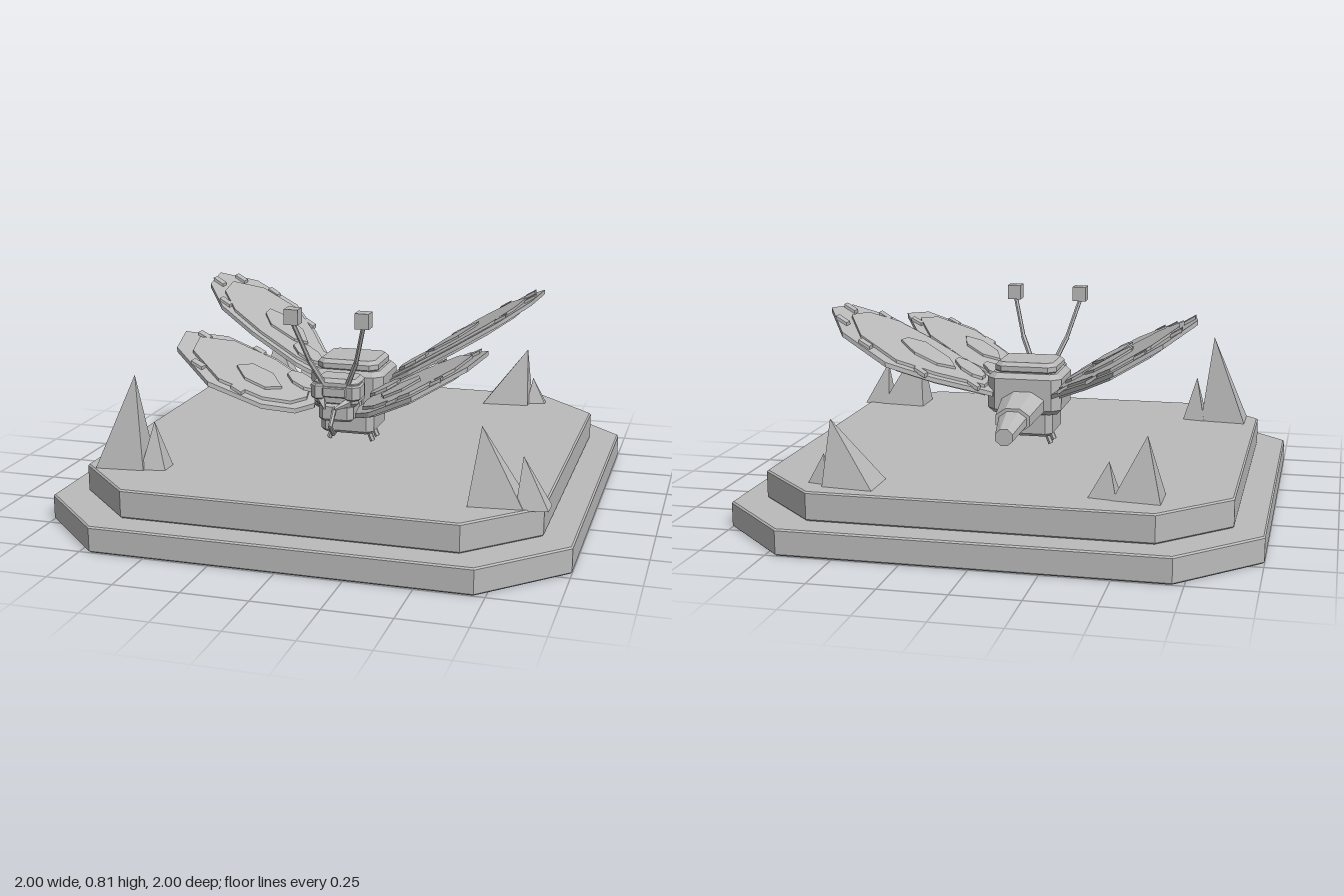
import * as THREE from 'three';
import { ConvexGeometry } from 'three/addons/geometries/ConvexGeometry.js';

export function createModel() {
  const model = new THREE.Group();
  model.name = 'mechanicalButterfly';
  const grey = new THREE.MeshStandardMaterial({ color: 0xbababa });
  grey.name = 'plain grey';

  function add(name, geometry, parent = model) {
    const mesh = new THREE.Mesh(geometry, grey);
    mesh.name = name;
    parent.add(mesh);
    return mesh;
  }
  const faceted = (g) => {
    const flat = g.index ? g.toNonIndexed() : g;
    flat.computeVertexNormals();
    return flat;
  };

  // Extrudes an outline of [x, z] points from y0 to y1, with chamfered rims
  function slab(points, y0, y1, bevel = 0) {
    const shape = new THREE.Shape(points.map(([x, z]) => new THREE.Vector2(x, -z)));
    const g = new THREE.ExtrudeGeometry(shape, {
      depth: y1 - y0 - 2 * bevel, bevelEnabled: bevel > 0, bevelSegments: 1,
      bevelSize: bevel, bevelThickness: bevel, bevelOffset: -bevel,
    });
    return g.rotateX(-Math.PI / 2).translate(0, y0 + bevel, 0);
  }
  // Rectangle outline with cut corners, centred on x = 0
  function cutRect(hx, z0, z1, c) {
    return [[hx, z0 + c], [hx, z1 - c], [hx - c, z1], [c - hx, z1],
      [-hx, z1 - c], [-hx, z0 + c], [c - hx, z0], [hx - c, z0]];
  }
  const block = (name, hx, y0, y1, z0, z1, c, bevel) =>
    add(name, slab(cutRect(hx, z0, z1, c), y0, y1, bevel));

  // Stepped base
  block('baseLower', 1, 0, 0.1, -1, 1, 0.29, 0.006);
  block('baseUpper', 0.885, 0.1, 0.21, -0.885, 0.885, 0.25, 0.006);

  // Crystal spikes: x0, x1, z0, z1, apex x, apex y, apex z
  const spikes = [
    [-0.835, -0.645, 0.515, 0.675, -0.69, 0.57, 0.6],
    [-0.66, -0.565, 0.53, 0.65, -0.62, 0.39, 0.59],
    [-0.64, -0.46, -0.78, -0.63, -0.58, 0.44, -0.705],
    [-0.48, -0.37, -0.76, -0.655, -0.445, 0.34, -0.71],
    [0.4, 0.6, -0.83, -0.655, 0.585, 0.45, -0.74],
    [0.59, 0.67, -0.785, -0.71, 0.61, 0.32, -0.75],
    [0.62, 0.82, 0.55, 0.71, 0.655, 0.49, 0.635],
    [0.79, 0.905, 0.57, 0.69, 0.805, 0.39, 0.63],
  ];
  for (const [x0, x1, z0, z1, ax, ay, az] of spikes) {
    const v = (x, y, z) => new THREE.Vector3(x, y, z);
    add('spike', new ConvexGeometry([v(x0, 0.205, z0), v(x1, 0.205, z0 + 0.02),
      v(x1, 0.205, z1 - 0.02), v(x0, 0.205, z1), v(ax, ay, az)]));
  }

  // Thorax
  block('thoraxUnderside', 0.11, 0.26, 0.37, -0.1, 0.125, 0.025, 0.012);
  block('thorax', 0.15, 0.355, 0.52, -0.135, 0.135, 0.035, 0.02);
  block('thoraxCap', 0.125, 0.51, 0.56, -0.105, 0.12, 0.03, 0.015);
  block('neck', 0.075, 0.38, 0.5, 0.12, 0.17, 0.01, 0.006);

  // Head
  block('jaw', 0.07, 0.35, 0.42, 0.13, 0.275, 0.02, 0.01);
  block('head', 0.09, 0.41, 0.52, 0.14, 0.27, 0.02, 0.015);
  block('browPlate', 0.05, 0.45, 0.49, 0.25, 0.285, 0.006, 0.004);

  // Abdomen: tapering faceted segments given as [half width, half height, y, z]
  function segment(name, a, b) {
    const ring = ([w, h, y, z]) => Array.from({ length: 8 }, (_, i) => {
      const t = (i + 0.5) * Math.PI / 4;
      return new THREE.Vector3(w * 1.08 * Math.cos(t), y + h * 1.08 * Math.sin(t), z);
    });
    add(name, new ConvexGeometry([...ring(a), ...ring(b)]));
  }
  segment('abdomenFront', [0.09, 0.056, 0.4, -0.1], [0.068, 0.047, 0.373, -0.31]);
  segment('abdomenRear', [0.056, 0.04, 0.371, -0.3], [0.034, 0.032, 0.34, -0.455]);

  // Straight rod between two points
  function rod(name, from, to, r0, r1 = r0, sides = 6) {
    const a = new THREE.Vector3(...from), b = new THREE.Vector3(...to);
    const dir = b.clone().sub(a);
    const mesh = add(name, faceted(new THREE.CylinderGeometry(r1, r0, dir.length(), sides)));
    mesh.position.copy(a).addScaledVector(dir, 0.5);
    mesh.quaternion.setFromUnitVectors(new THREE.Vector3(0, 1, 0), dir.normalize());
  }
  // Folded proboscis
  rod('proboscisUpper', [0, 0.41, 0.27], [0, 0.345, 0.335], 0.009);
  rod('proboscisLower', [0, 0.35, 0.335], [0, 0.305, 0.29], 0.009);

  // Wing outlines as [x, z], for the model's left side; height is rise + slope * x
  const wings = [
    {
      name: 'rearWing', rise: 0.375, slope: 0.595, pivot: [0.3, -0.17],
      outline: [[0.12, -0.01], [0.235, 0.035], [0.43, 0.02], [0.58, -0.03], [0.685, -0.17],
        [0.71, -0.35], [0.605, -0.53], [0.43, -0.555], [0.29, -0.4], [0.17, -0.22], [0.12, -0.15]],
      gem: [[0.3, -0.13], [0.4, -0.125], [0.45, -0.2], [0.455, -0.27], [0.39, -0.315],
        [0.31, -0.28], [0.26, -0.19]],
      root: [0.225, -0.09],
      studs: [[0.52, -0.51], [0.64, -0.42], [0.67, -0.24], [0.58, -0.08], [0.33, -0.43], [0.18, -0.21]],
    },
    {
      name: 'frontWing', rise: 0.365, slope: 0.52, pivot: [0.26, 0.29],
      outline: [[0.12, 0.11], [0.2, 0.065], [0.315, 0.045], [0.5, 0.11], [0.605, 0.295],
        [0.565, 0.48], [0.39, 0.61], [0.21, 0.53], [0.12, 0.4], [0.09, 0.25]],
      gem: [[0.2, 0.32], [0.26, 0.25], [0.335, 0.27], [0.365, 0.37], [0.31, 0.435], [0.235, 0.415]],
      root: [0.17, 0.15],
      studs: [[0.375, 0.085], [0.545, 0.245], [0.46, 0.525], [0.3, 0.535]],
    },
  ];

  for (const s of [-1, 1]) {
    const side = s > 0 ? 'left' : 'right';

    for (const w of wings) {
      const wing = new THREE.Group();
      wing.name = side + w.name[0].toUpperCase() + w.name.slice(1);
      model.add(wing);
      // Plate sheared up to the wing's slope
      const plate = (name, points, y0, y1) => {
        const g = slab(points.map(([x, z]) => [s * x, z]), y0, y1);
        const p = g.attributes.position;
        for (let i = 0; i < p.count; i++) {
          p.setY(i, p.getY(i) + w.rise + w.slope * Math.abs(p.getX(i)));
        }
        g.computeVertexNormals();
        add(name, g, wing);
      };
      const [px, pz] = w.pivot;
      plate('wingPlate', w.outline, -0.018, 0);
      plate('wingPanel', w.outline.map(([x, z]) => [px + (x - px) * 0.83, pz + (z - pz) * 0.83]),
        -0.032, 0.012);
      plate('wingGem', w.gem, 0.01, 0.022);
      plate('wingRootDisc', Array.from({ length: 8 }, (_, i) => [
        w.root[0] + 0.06 * Math.cos(i * Math.PI / 4 + 0.39),
        w.root[1] + 0.07 * Math.sin(i * Math.PI / 4 + 0.39)]), 0.01, 0.024);
      for (const [x, z] of w.studs) {
        const h = 0.021;
        plate('wingStud', [[x - h, z - h], [x + h, z - h], [x + h, z + h], [x - h, z + h]], -0.004, 0.012);
      }
    }

    // Antennae with block tips
    rod(side + 'AntennaBase', [s * 0.035, 0.47, 0.25], [s * 0.095, 0.6, 0.3], 0.011);
    rod(side + 'AntennaStalk', [s * 0.093, 0.595, 0.298], [s * 0.14, 0.755, 0.358], 0.009);
    add(side + 'AntennaTip', new THREE.BoxGeometry(0.055, 0.06, 0.055)).position.set(s * 0.14, 0.78, 0.355);

    // Eyes and mandibles
    add(side + 'Eye', slab([[s * 0.055, 0.19], [s * 0.1, 0.2], [s * 0.1, 0.265], [s * 0.075, 0.29],
      [s * 0.045, 0.28]], 0.44, 0.5, 0.006));
    rod(side + 'Mandible', [s * 0.055, 0.43, 0.26], [s * 0.02, 0.42, 0.34], 0.018, 0.005, 4);

    // Legs
    for (const z of [0.05, -0.02]) {
      rod(side + 'Leg', [s * 0.068, 0.275, z], [s * 0.092, 0.218, z], 0.011);
    }
  }
  return model;
}
